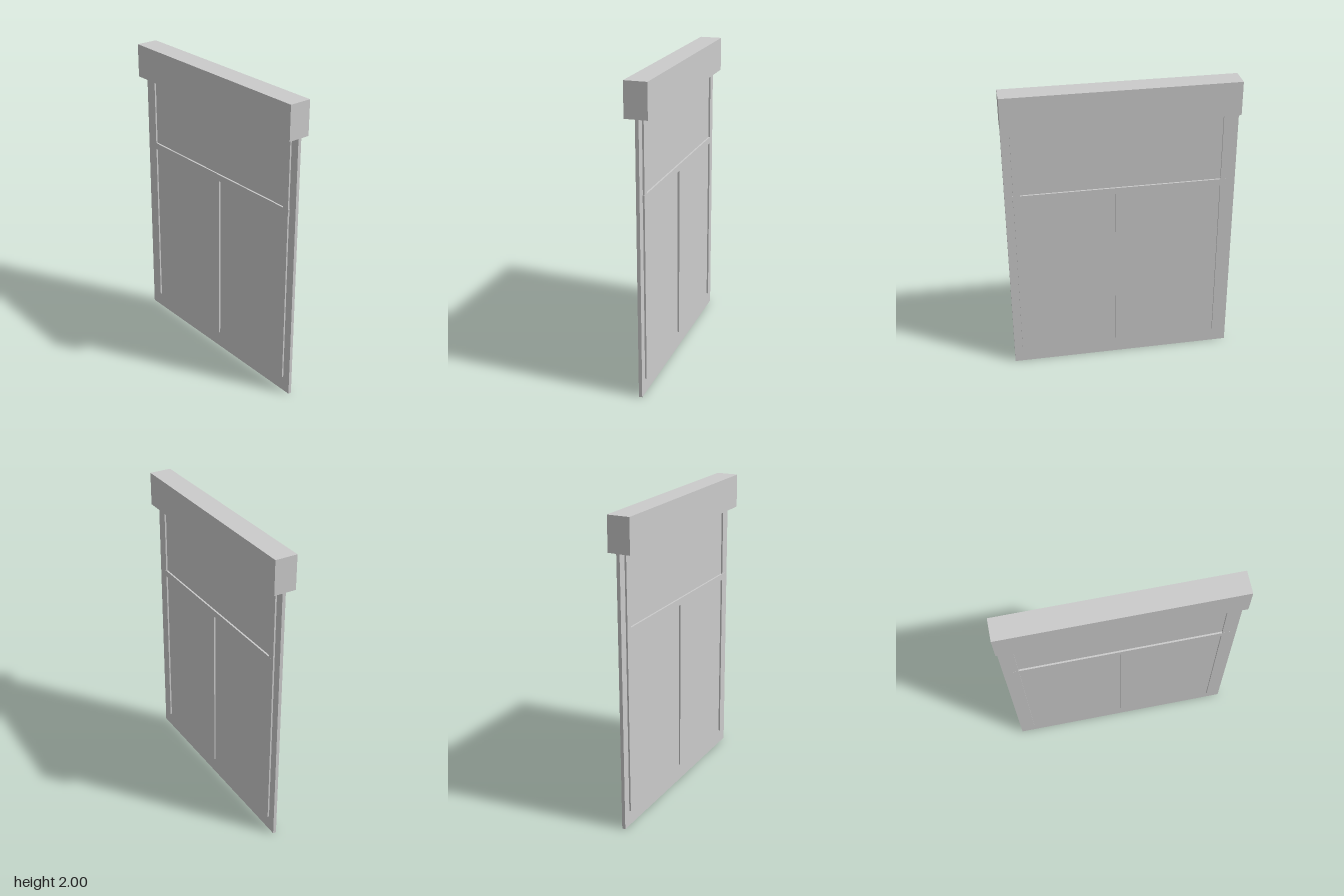
import * as THREE from 'three';

export function createModel() {
  const model = new THREE.Group();
  const material = new THREE.MeshStandardMaterial({ color: 0xcccccc, flatShading: true });

  // Box given by its limits on each axis
  function addBox(name, [x0, x1], [y0, y1], [z0, z1]) {
    const mesh = new THREE.Mesh(new THREE.BoxGeometry(x1 - x0, y1 - y0, z1 - z0), material);
    mesh.position.set((x0 + x1) / 2, (y0 + y1) / 2, (z0 + z1) / 2);
    mesh.name = name;
    model.add(mesh);
  }

  const headerBottom = 1.778;
  const battenDepth = [-0.028, 0.016]; // battens stand proud on both faces

  // Thin door panel and the deep header above it
  addBox('panel', [-0.75, 0.75], [0, headerBottom + 0.01], [-0.017, 0.005]);
  addBox('header', [-0.75, 0.75], [headerBottom, 2], [-0.073, 0.073]);

  // Upright battens
  addBox('rightBatten', [-0.695, -0.652], [0.103, headerBottom], battenDepth);
  addBox('leftBatten', [0.652, 0.695], [0.103, headerBottom], battenDepth);
  addBox('middleBatten', [-0.004, 0.042], [0.115, 1.29], battenDepth);

  // Cross rail, reaching slightly past the left batten
  addBox('crossRail', [-0.69, 0.699], [1.268, 1.312], [-0.0285, 0.0165]);

  return model;
}
